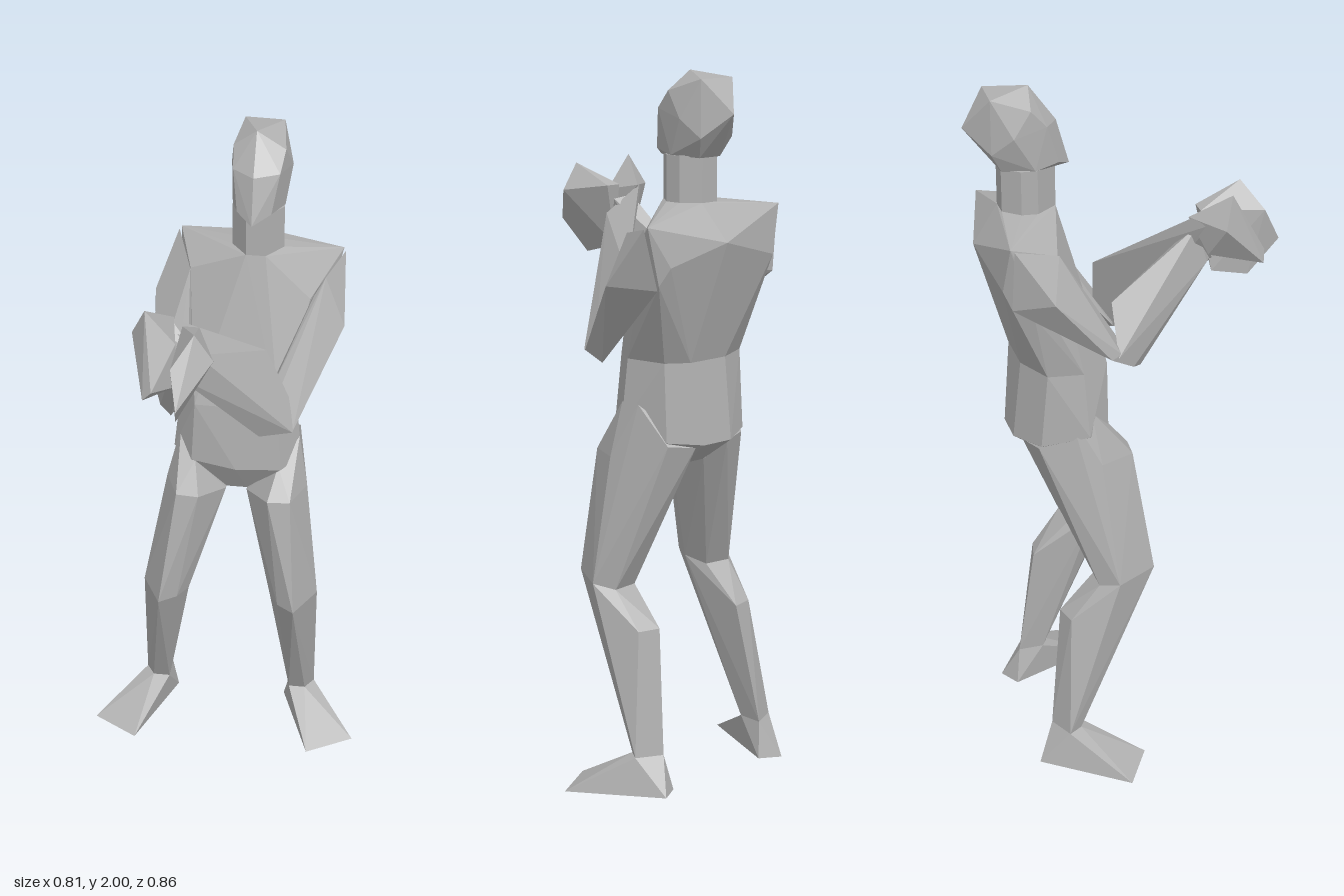
import * as THREE from 'three';
import { ConvexGeometry } from 'three/addons/geometries/ConvexGeometry.js';

const grey = new THREE.MeshStandardMaterial({ color: 0xb0b0b0, flatShading: true });
grey.name = 'plain grey';

// Faceted block spanning a handful of corner points
function block(name, points) {
  const mesh = new THREE.Mesh(new ConvexGeometry(points.map(p => new THREE.Vector3(...p))), grey);
  mesh.name = name;
  return mesh;
}

export function createModel() {
  const model = new THREE.Group();
  model.name = 'figure';
  const add = (name, ...lists) => model.add(block(name, lists.flat()));

  // Head, tilted slightly forward
  add('head', [
    [0.07, 2.0, -0.25], [0.025, 1.985, -0.365], [0.135, 1.985, -0.36], [0.083, 1.895, -0.43],
    [0.005, 1.95, -0.26], [0.15, 1.95, -0.25], [-0.005, 1.88, -0.31], [0.165, 1.88, -0.31],
    [0.01, 1.9, -0.215], [0.14, 1.9, -0.2], [0.07, 1.895, -0.175],
    [0.025, 1.79, -0.18], [0.12, 1.79, -0.175], [0.07, 1.767, -0.14],
    [0.005, 1.78, -0.25], [0.15, 1.78, -0.26], [0.04, 1.775, -0.335], [0.115, 1.775, -0.335],
    [0.025, 1.83, -0.365], [0.14, 1.83, -0.365],
  ]);

  // Neck
  const neckRing = y => [
    [0.05, y, -0.185], [0.105, y, -0.185], [0.15, y, -0.245], [0.145, y, -0.29],
    [0.105, y, -0.335], [0.05, y, -0.335], [0.01, y, -0.29], [0.005, y, -0.245],
  ];
  const neckBase = neckRing(1.655);
  add('neck', neckBase, neckRing(1.78));

  // Torso
  const waist = [
    [-0.13, 1.22, -0.16], [-0.08, 1.22, -0.08], [0.16, 1.22, -0.075], [0.205, 1.22, -0.15],
    [0.18, 1.22, -0.27], [0.12, 1.22, -0.31], [-0.01, 1.22, -0.31], [-0.115, 1.22, -0.26],
  ];
  const hips = [
    [-0.09, 1.03, -0.08], [0.04, 1.02, -0.06], [0.17, 1.03, -0.06], [0.22, 1.03, -0.14],
    [0.18, 1.0, -0.28], [0.09, 0.99, -0.335], [-0.01, 0.99, -0.335], [-0.11, 1.0, -0.28], [-0.15, 1.03, -0.15],
  ];
  add('chest', neckBase, waist, [
    [0.31, 1.61, -0.345], [-0.155, 1.635, -0.365], [0.083, 1.555, -0.41], [0.25, 1.5, -0.37], [0.27, 1.45, -0.345],
    [-0.12, 1.5, -0.38], [-0.11, 1.58, -0.225], [-0.12, 1.48, -0.21], [0.23, 1.52, -0.2], [-0.14, 1.42, -0.3],
  ]);
  add('abdomen', waist, hips);
  add('pelvis', hips, [[0.005, 0.92, -0.12], [0.065, 0.92, -0.12], [0.005, 0.92, -0.24], [0.065, 0.92, -0.24]]);

  // Legs, mirrored about a midline that leans slightly to the left
  for (const [side, s] of [['left', 1], ['right', -1]]) {
    const at = pts => pts.map(([x, y, z]) => [0.04 * y + s * x, y, z]);
    const knee = at([
      [0.15, 0.585, -0.005], [0.2, 0.585, 0.03], [0.26, 0.58, -0.09],
      [0.22, 0.565, -0.14], [0.14, 0.565, -0.13], [0.122, 0.58, -0.06],
    ]);
    const ankle = at([[0.19, 0.105, -0.21], [0.24, 0.105, -0.21], [0.265, 0.105, -0.25], [0.19, 0.105, -0.285]]);
    add(side + 'Thigh', knee, at([
      [0.172, 1.1, -0.14], [0.12, 1.03, -0.08], [0.03, 0.92, -0.11], [0.035, 0.92, -0.24],
      [0.168, 1.1, -0.2], [0.14, 0.99, -0.285], [0.06, 0.98, -0.31],
      [0.1, 0.945, -0.015], [0.165, 0.945, -0.02], [0.205, 0.945, -0.12],
    ]));
    add(side + 'Shin', knee, ankle, at([[0.15, 0.46, -0.24], [0.215, 0.46, -0.225], [0.14, 0.48, -0.1]]));
    add(side + 'Foot', ankle, at([[0.405, 0, -0.105], [0.27, 0, -0.025], [0.17, 0, -0.3], [0.23, 0, -0.335]]));
  }

  // Left arm, with the forearm crossing the chest
  add('leftUpperArm', [
    [0.315, 1.605, -0.335], [0.27, 1.58, -0.22], [0.328, 1.44, -0.2], [0.28, 1.44, -0.35],
    [0.2, 1.45, -0.25], [0.24, 1.53, -0.2],
    [0.22, 1.24, -0.02], [0.2, 1.19, -0.04], [0.13, 1.28, -0.05], [0.21, 1.22, 0.02], [0.13, 1.22, 0],
  ]);
  add('leftForearm', [
    [0.125, 1.43, -0.06], [0.22, 1.24, -0.03], [0.12, 1.215, 0.05], [0.2, 1.19, -0.04], [0.21, 1.22, 0.025],
    [-0.11, 1.64, 0.15], [-0.15, 1.63, 0.185], [-0.03, 1.56, 0.2], [-0.08, 1.5, 0.22],
  ]);
  add('leftHand', [
    [-0.16, 1.715, 0.25], [-0.2, 1.63, 0.22], [-0.13, 1.53, 0.355], [-0.155, 1.5, 0.345],
    [-0.08, 1.62, 0.25], [-0.08, 1.5, 0.27], [-0.1, 1.64, 0.145], [-0.14, 1.54, 0.19],
  ]);

  // Right arm, with the forearm raised
  add('rightUpperArm', [
    [-0.16, 1.63, -0.355], [-0.215, 1.485, -0.26], [-0.14, 1.45, -0.36], [-0.11, 1.58, -0.22], [-0.09, 1.45, -0.22],
    [-0.2, 1.29, -0.1], [-0.19, 1.3, -0.07], [-0.135, 1.23, -0.01], [-0.1, 1.3, -0.08], [-0.17, 1.245, -0.03],
  ]);
  add('rightForearm', [
    [-0.195, 1.29, -0.08], [-0.11, 1.42, -0.075], [-0.135, 1.23, 0], [-0.17, 1.245, -0.03], [-0.09, 1.28, -0.05],
    [-0.1, 1.61, 0.17], [-0.05, 1.6, 0.19], [-0.07, 1.5, 0.22], [-0.1, 1.5, 0.2],
  ]);
  add('rightHand', [
    [-0.07, 1.64, 0.19], [-0.025, 1.64, 0.19], [0.03, 1.62, 0.32], [-0.02, 1.695, 0.32],
    [-0.075, 1.62, 0.375], [-0.055, 1.52, 0.425], [-0.07, 1.43, 0.33], [-0.08, 1.46, 0.22],
  ]);
  return model;
}
